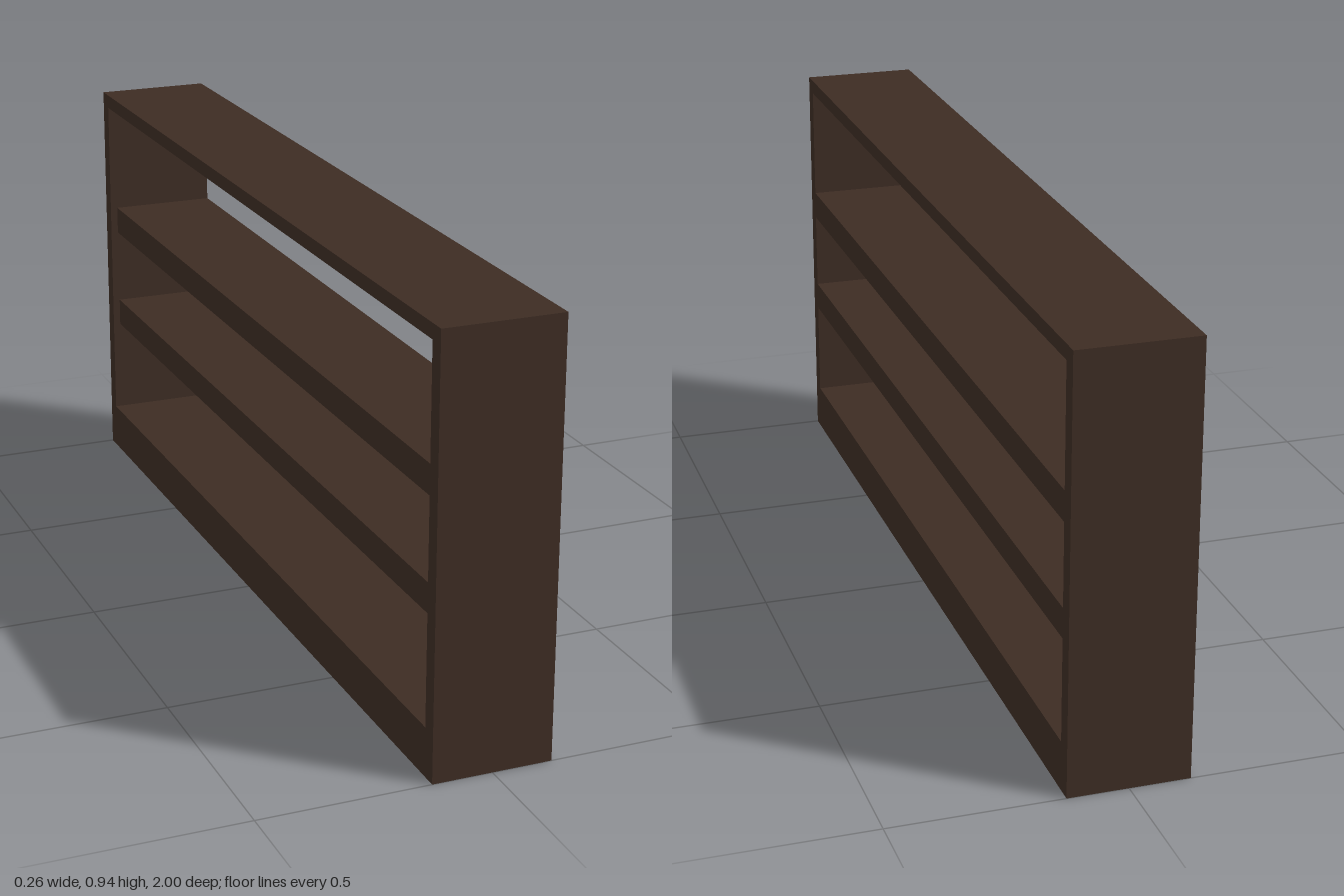
import * as THREE from 'three';

export function createModel() {
  const model = new THREE.Group();
  model.name = 'shelfUnit';

  const darkWood = new THREE.MeshStandardMaterial({ color: 0x3d2c23 });
  darkWood.name = 'darkWood';

  const width = 0.26, height = 0.935, length = 2, wall = 0.036;
  const recess = 0.017; // middle shelves stop short of the -x face

  // Board given by its x, y and z ranges
  function board(name, x0, x1, y0, y1, z0, z1) {
    const mesh = new THREE.Mesh(new THREE.BoxGeometry(x1 - x0, y1 - y0, z1 - z0), darkWood);
    mesh.position.set((x0 + x1) / 2, (y0 + y1) / 2, (z0 + z1) / 2);
    mesh.name = name;
    model.add(mesh);
  }

  const hx = width / 2, hz = length / 2, inner = hz - wall;

  // End panels, full height
  board('frontEndPanel', -hx, hx, 0, height, inner, hz);
  board('backEndPanel', -hx, hx, 0, height, -hz, -inner);

  // Top board and thick base between the ends
  board('topBoard', -hx, hx, 0.903, height, -inner, inner);
  board('base', -hx, hx, 0, 0.107, -inner, inner);

  // Middle shelves
  board('lowerShelf', -hx + recess, hx, 0.332, 0.397, -inner, inner);
  board('upperShelf', -hx + recess, hx, 0.577, 0.642, -inner, inner);

  return model;
}
